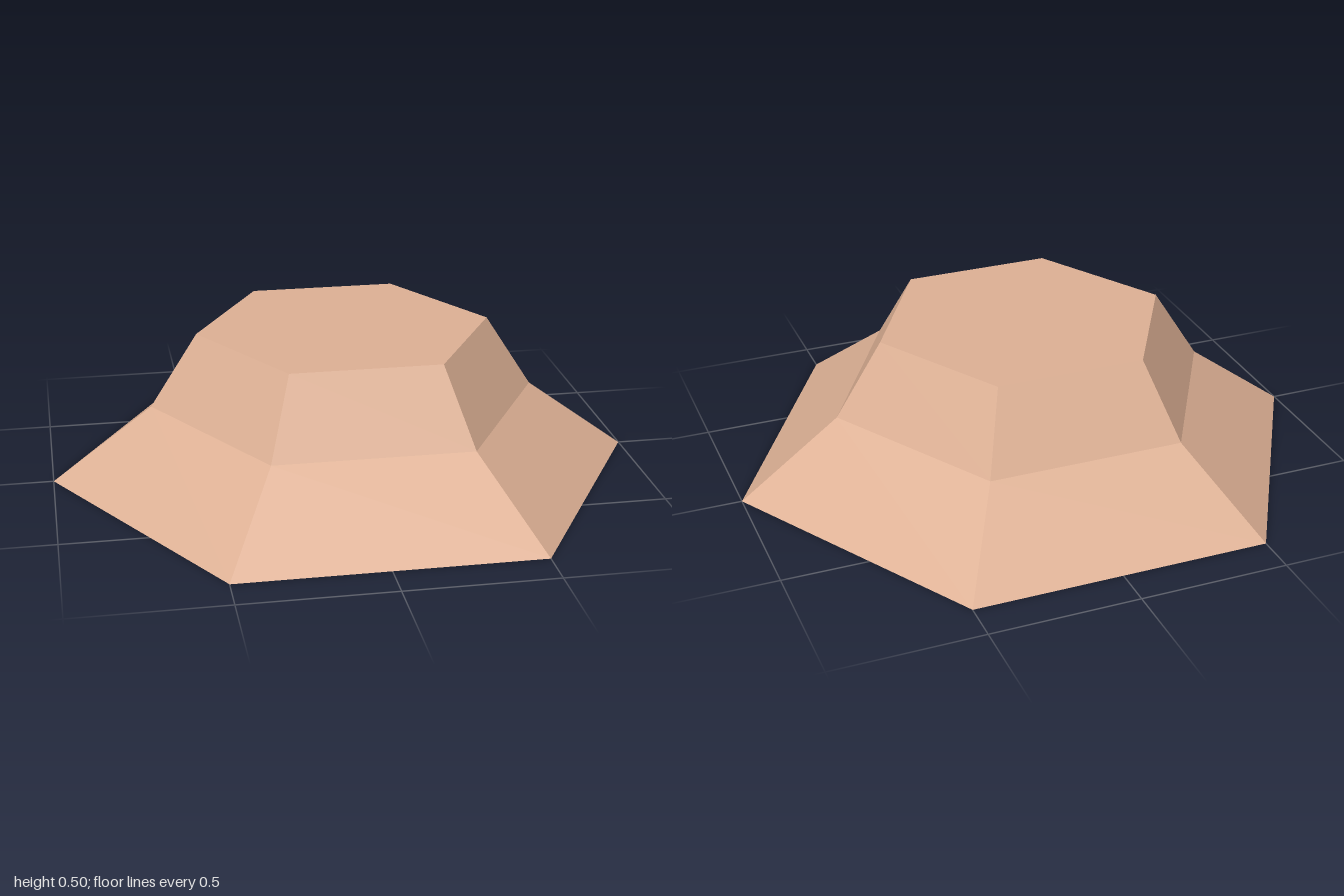
import * as THREE from 'three';

export function createModel() {
  const group = new THREE.Group();
  group.name = 'hexagonalMound';

  // Closed profile: base centre, base rim, slope break, top rim, top centre
  const profile = [[0, 0], [1, 0], [0.66, 0.25], [0.5, 0.5], [0, 0.5]]
    .map(([r, y]) => new THREE.Vector2(r, y));

  // Six flat sides with corners on the x axis
  const geometry = new THREE.LatheGeometry(profile, 6, Math.PI / 2);
  const material = new THREE.MeshStandardMaterial({ color: 0xdeb195, flatShading: true });

  const mound = new THREE.Mesh(geometry, material);
  mound.name = 'mound';
  group.add(mound);
  return group;
}
